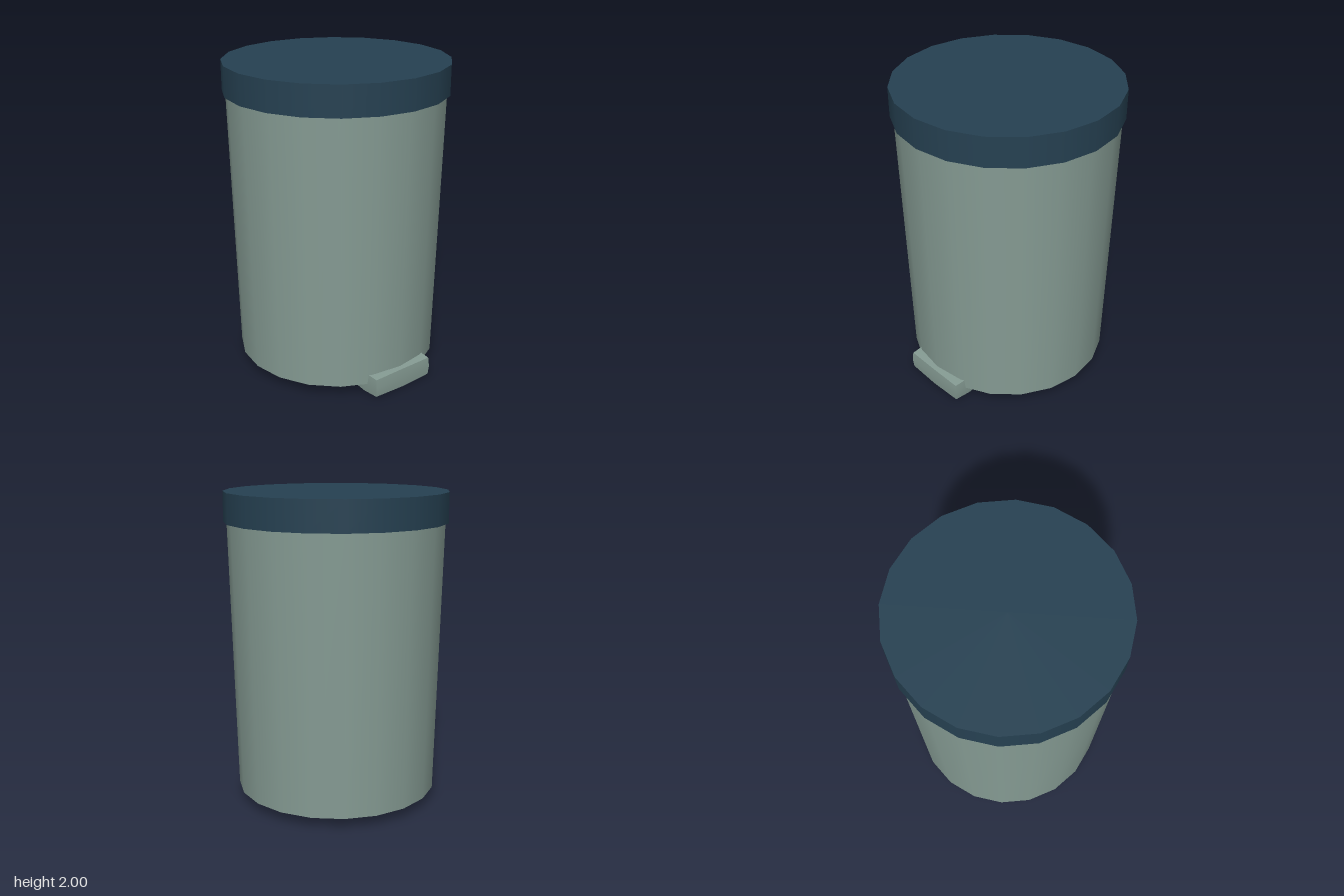
import * as THREE from 'three';

const SIDES = 20;

// Block whose faces swell slightly: edge middles by half the bulge, face centres by all of it
function bulgedBlock(hx, hy, hz, bulge) {
  const geo = new THREE.BoxGeometry(2, 2, 2, 2, 2, 2);
  const p = geo.attributes.position;
  for (let i = 0; i < p.count; i++) {
    const c = [p.getX(i), p.getY(i), p.getZ(i)].map(Math.round);
    const swell = (bulge * c.filter((v) => v === 0).length) / 2;
    p.setXYZ(i, c[0] * (hx + swell), c[1] * (hy + swell), c[2] * (hz + swell));
  }
  geo.computeVertexNormals();
  return geo;
}

export function createModel() {
  const bodyMaterial = new THREE.MeshStandardMaterial({ color: 0x869c94 });
  bodyMaterial.name = 'greyGreenPlastic';
  const lidMaterial = new THREE.MeshStandardMaterial({ color: 0x264152 });
  lidMaterial.name = 'darkBluePlastic';

  const model = new THREE.Group();
  model.name = 'pedalBin';

  function add(name, geometry, material, y, z = 0) {
    const mesh = new THREE.Mesh(geometry, material);
    mesh.name = name;
    mesh.position.set(0, y, z);
    model.add(mesh);
  }

  // Tapered bin body
  add('body', new THREE.CylinderGeometry(0.69, 0.65, 1.74, SIDES), bodyMaterial, 0.94);

  // Flat lid overhanging the body
  add('lid', new THREE.CylinderGeometry(0.71, 0.71, 0.19, SIDES), lidMaterial, 1.905);

  // Foot pedal at the front
  add('pedal', bulgedBlock(0.22, 0.06, 0.11, 0.01), bodyMaterial, 0.07, 0.57);

  return model;
}
